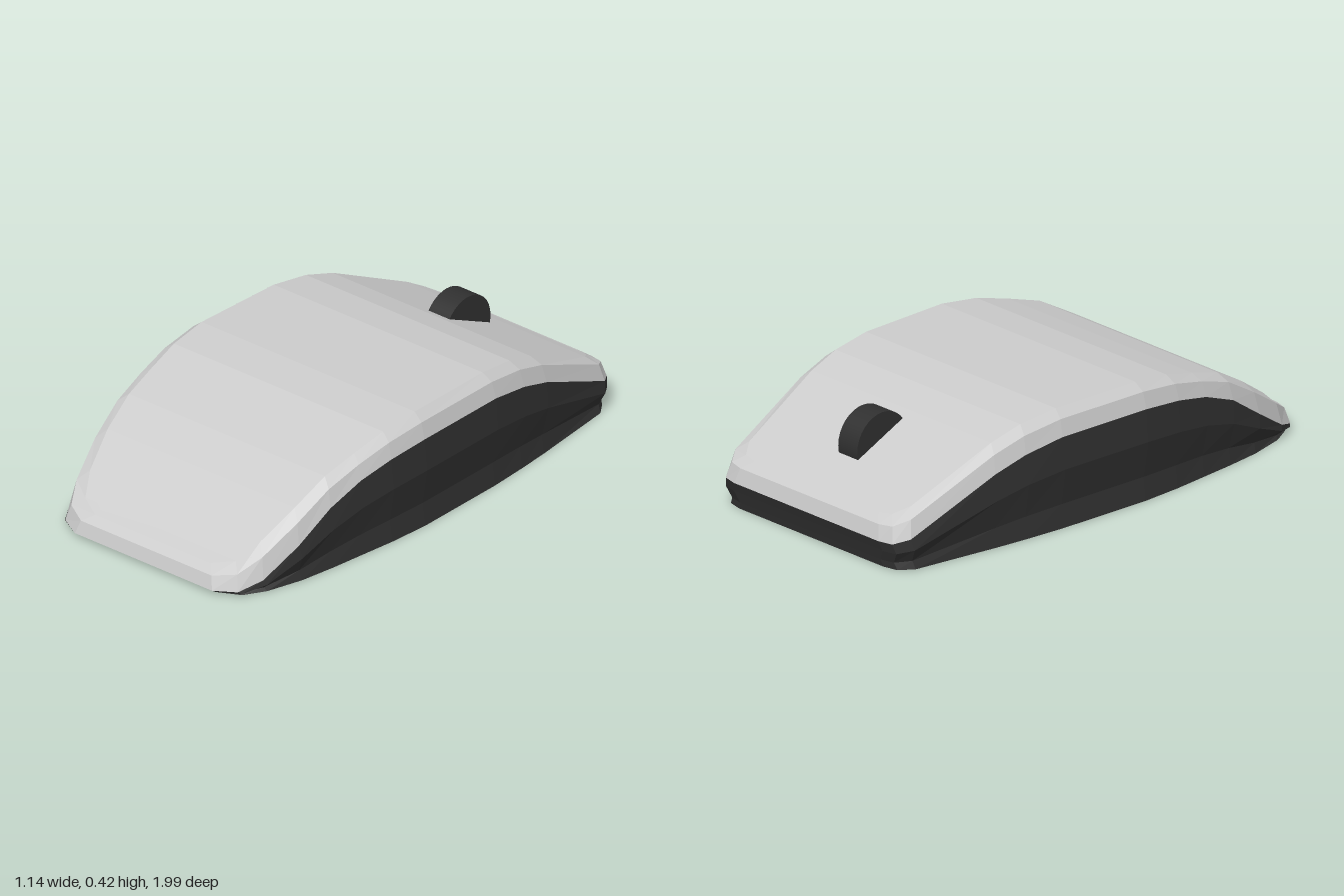
import * as THREE from 'three';

// Stations from back to front: [z, half width, height of top edge, height of shell rim]
const STATIONS = [
  [-0.965, 0.36, 0.18, 0.10],
  [-0.952, 0.415, 0.185, 0.10],
  [-0.90, 0.452, 0.21, 0.115],
  [-0.55, 0.497, 0.365, 0.27],
  [-0.42, 0.51, 0.403, 0.31],
  [-0.26, 0.522, 0.423, 0.335],
  [0.12, 0.532, 0.423, 0.335],
  [0.28, 0.523, 0.405, 0.32],
  [0.42, 0.508, 0.37, 0.29],
  [0.56, 0.493, 0.33, 0.235],
  [0.70, 0.473, 0.255, 0.14],
  [0.84, 0.435, 0.165, 0.05],
  [0.92, 0.39, 0.105, 0.02],
  [0.962, 0.31, 0.085, 0.015],
];

// Closed loop around the outline, moved inward by d, with a height rule
function ring(d, height, lengthScale = 1 - d) {
  const right = STATIONS.map(([z, w, top, rim]) => [w - d, height(top, rim), z * lengthScale]);
  const left = right.map(([x, y, z]) => [-x, y, z]).reverse();
  return [...right, ...left];
}

// Flat-shaded skin through the rings (lowest first), with an optional lid at either end
function skin(name, rings, color, capBottom, capTop) {
  const pos = [];
  const tri = (a, b, c) => pos.push(...a, ...b, ...c);
  const n = rings[0].length;
  for (let r = 0; r + 1 < rings.length; r++) {
    for (let i = 0; i < n; i++) {
      const j = (i + 1) % n, lo = rings[r], hi = rings[r + 1];
      tri(lo[i], hi[i], lo[j]);
      tri(lo[j], hi[i], hi[j]);
    }
  }
  const cap = (loop, up) => {
    for (let i = 0; i + 1 < n / 2; i++) {
      const a = loop[i], b = loop[n - 1 - i], c = loop[i + 1], e = loop[n - 2 - i];
      if (up) { tri(a, b, c); tri(c, b, e); } else { tri(a, c, b); tri(c, e, b); }
    }
  };
  if (capBottom) cap(rings[0], false);
  if (capTop) cap(rings[rings.length - 1], true);
  const geo = new THREE.BufferGeometry();
  geo.setAttribute('position', new THREE.Float32BufferAttribute(pos, 3));
  geo.computeVertexNormals();
  const mesh = new THREE.Mesh(geo, new THREE.MeshStandardMaterial({ color, flatShading: true }));
  mesh.name = name;
  return mesh;
}

export function createModel() {
  const model = new THREE.Group();
  model.name = 'computerMouse';
  const dark = 0x303030;

  // Dark base with a slight waist under a bulging side
  const rim = ring(0, (t, r) => r);
  model.add(skin('base', [
    ring(0.0, () => 0, 0.975),
    ring(0.012, (t, r) => r * 0.25, 0.98),
    ring(-0.01, (t, r) => r * 0.65, 0.99),
    rim,
  ], dark, true, false));

  // Light top shell with a two-step bevel around its edge
  model.add(skin('topShell', [
    rim,
    ring(0.015, (t, r) => r + (t - r) * 0.68),
    ring(0.05, (t) => t),
  ], 0xcccccc, false, true));

  // Shallow crease at the front of the shell
  const crease = new THREE.BufferGeometry();
  crease.setAttribute('position', new THREE.Float32BufferAttribute([
    -0.32, 0.128, 0.855, -0.25, 0.1, 0.9, 0.4, 0.13, 0.855,
  ], 3));
  crease.computeVertexNormals();
  const creaseMesh = new THREE.Mesh(crease,
    new THREE.MeshStandardMaterial({ color: 0xcccccc, side: THREE.DoubleSide, flatShading: true }));
  creaseMesh.name = 'frontCrease';
  model.add(creaseMesh);

  // Scroll wheel half sunk into the shell
  const wheel = new THREE.Mesh(
    new THREE.CylinderGeometry(0.117, 0.117, 0.095, 32),
    new THREE.MeshStandardMaterial({ color: dark }));
  wheel.rotation.z = Math.PI / 2;
  wheel.position.set(0, 0.278, -0.655);
  wheel.name = 'scrollWheel';
  model.add(wheel);

  // The whole mouse sits slightly turned
  model.rotation.y = 0.122;
  const root = new THREE.Group();
  root.add(model);
  return root;
}
